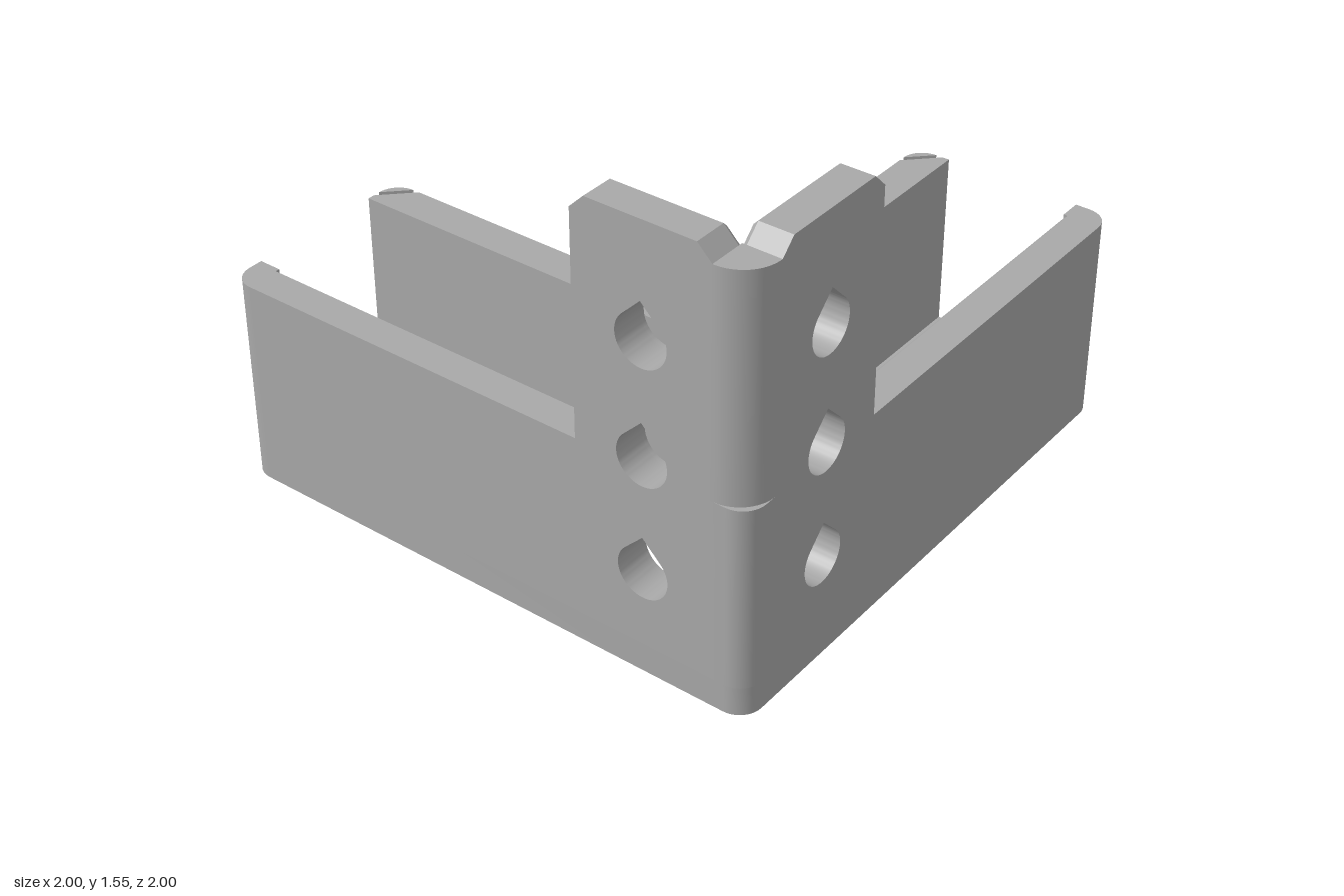
import * as THREE from 'three';
import { toCreasedNormals } from 'three/addons/utils/BufferGeometryUtils.js';

const FLOOR = 0.1, RIM = 0.735, TOP = 1.55, BEVEL = 0.015, R = 0.08;

// Closed outline from [x, y, cornerRadius] points
function outline(points, Type = THREE.Shape) {
  const path = new Type();
  const n = points.length, k = 0.5523;
  points.forEach(([x, y, r = 0], i) => {
    const go = (px, py) => (i === 0 ? path.moveTo(px, py) : path.lineTo(px, py));
    if (!r) return go(x, y);
    const toward = ([qx, qy]) => {
      const d = Math.hypot(qx - x, qy - y);
      return [(qx - x) / d, (qy - y) / d];
    };
    const a = toward(points[(i + n - 1) % n]), b = toward(points[(i + 1) % n]);
    const c = r * (1 - k);
    go(x + a[0] * r, y + a[1] * r);
    path.bezierCurveTo(x + a[0] * c, y + a[1] * c, x + b[0] * c, y + b[1] * c, x + b[0] * r, y + b[1] * r);
  });
  path.closePath();
  return path;
}

// Extrude a plan outline given as [x, z, radius] upward from y0 to y1
function upright(plan, y0, y1, hole) {
  const flip = (pts) => pts.map(([x, z, r]) => [x, -z, r]);
  const shape = outline(flip(plan));
  if (hole) shape.holes.push(outline(flip(hole), THREE.Path));
  const g = new THREE.ExtrudeGeometry(shape, { depth: y1 - y0, bevelEnabled: false, curveSegments: 10 });
  g.rotateX(-Math.PI / 2).translate(0, y0, 0);
  return g;
}

// Mirror a geometry across the diagonal of the L and restore its winding
function mirrored(source) {
  const g = source.index ? source.toNonIndexed() : source.clone();
  const p = g.attributes.position;
  for (let i = 0; i < p.count; i += 3) {
    const v = [0, 2, 1].map((j) => [p.getX(i + j), p.getY(i + j), p.getZ(i + j)]);
    v.forEach(([x, y, z], j) => p.setXYZ(i + j, -z, y, -x));
  }
  return g;
}

// Teardrop hole with a 45 degree peak
function teardrop(x, y, r) {
  const h = new THREE.Path();
  h.absarc(x, y, r, Math.PI * 0.75, Math.PI * 2.25, false);
  h.lineTo(x, y + r * Math.SQRT2);
  h.closePath();
  return h;
}

// Stepped outer wall with tower and holes
function wallShape() {
  const s = outline([
    [-0.87, FLOOR], [0.92, FLOOR], [0.92, RIM], [-0.39, RIM],
    [-0.39, 1.5], [-0.44, TOP], [-0.82, TOP], [-0.87, 1.5],
  ]);
  [0.365, 0.765, 1.165].forEach((y) => s.holes.push(teardrop(-0.63, y, 0.09)));
  return s;
}

export function createModel() {
  const model = new THREE.Group();
  model.name = 'cornerBracket';
  const grey = new THREE.MeshStandardMaterial({ color: 0xa8a8a8 });
  grey.name = 'grey';

  const add = (name, g) => {
    const flat = g.index ? g.toNonIndexed() : g;
    flat.deleteAttribute('normal');
    flat.computeVertexNormals();
    const mesh = new THREE.Mesh(toCreasedNormals(flat, 0.5), grey);
    mesh.name = name;
    model.add(mesh);
  };
  const addPair = (name, g) => {
    add('front' + name, g.clone());
    add('side' + name, mirrored(g));
  };

  // Floor with an L-shaped slot
  add('floor', upright(
    [[-1, -1, R], [-0.25, -1, R], [-0.25, -0.05], [0.05, 0.25], [1, 0.25, R], [1, 1, R], [-1, 1, R]],
    0, FLOOR,
    [[-0.71, -0.765, 0.082], [-0.545, -0.765, 0.082], [-0.545, 0.54], [0.76, 0.54, 0.082],
      [0.76, 0.705, 0.082], [-0.71, 0.705, R]],
  ));

  // Outer walls: main plates
  const plate = new THREE.ExtrudeGeometry(wallShape(), { depth: 0.13 - BEVEL, bevelEnabled: false, curveSegments: 28 });
  plate.translate(0, 0, 0.87 + BEVEL);
  addPair('Wall', plate);

  // Inner skins of the outer walls, with the top edge lowered into a bevel
  const skin = new THREE.ExtrudeGeometry(wallShape(), { depth: BEVEL, bevelEnabled: false, curveSegments: 28 });
  skin.translate(0, 0, 0.87);
  const p = skin.attributes.position;
  for (let i = 0; i < p.count; i++) {
    const y = p.getY(i);
    const onTop = [RIM, 1.5, TOP].some((t) => Math.abs(y - t) < 1e-4);
    if (onTop && p.getZ(i) < 0.875) p.setY(i, y - BEVEL);
  }
  addPair('WallInnerEdge', skin);

  // Rounded free ends of the outer walls
  addPair('WallEnd', upright([[0.92, 0.87], [1, 0.87], [1, 1, R], [0.92, 1]], FLOOR, RIM));

  // Corner post, more rounded above the rim
  const post = (r) => [[-1, 0.87], [-0.87, 0.87], [-0.87, 1], [-1, 1, r]];
  add('cornerPostLower', upright(post(R), FLOOR, RIM));
  add('cornerPostUpper', upright(post(0.125), RIM, 1.5));

  // Inner wall with a chamfered bend
  add('innerWall', upright(
    [[-0.38, -1], [-0.25, -1, R], [-0.25, -0.05], [0.05, 0.25], [1, 0.25, R], [1, 0.38], [-0.38, 0.38]],
    FLOOR, RIM - BEVEL,
  ));

  // Top layer of the inner wall, split by a diagonal groove at each end
  add('innerWallTop', upright(
    [[-0.38, -1], [-0.355, -1], [-0.25, -0.895], [-0.25, -0.05], [0.05, 0.25], [0.895, 0.25],
      [1, 0.355], [1, 0.38], [-0.38, 0.38]],
    RIM - BEVEL, RIM,
  ));
  addPair('InnerWallTip', upright([[0.92, 0.25], [1, 0.25, R], [1, 0.33]], RIM - BEVEL, RIM));

  return model;
}
